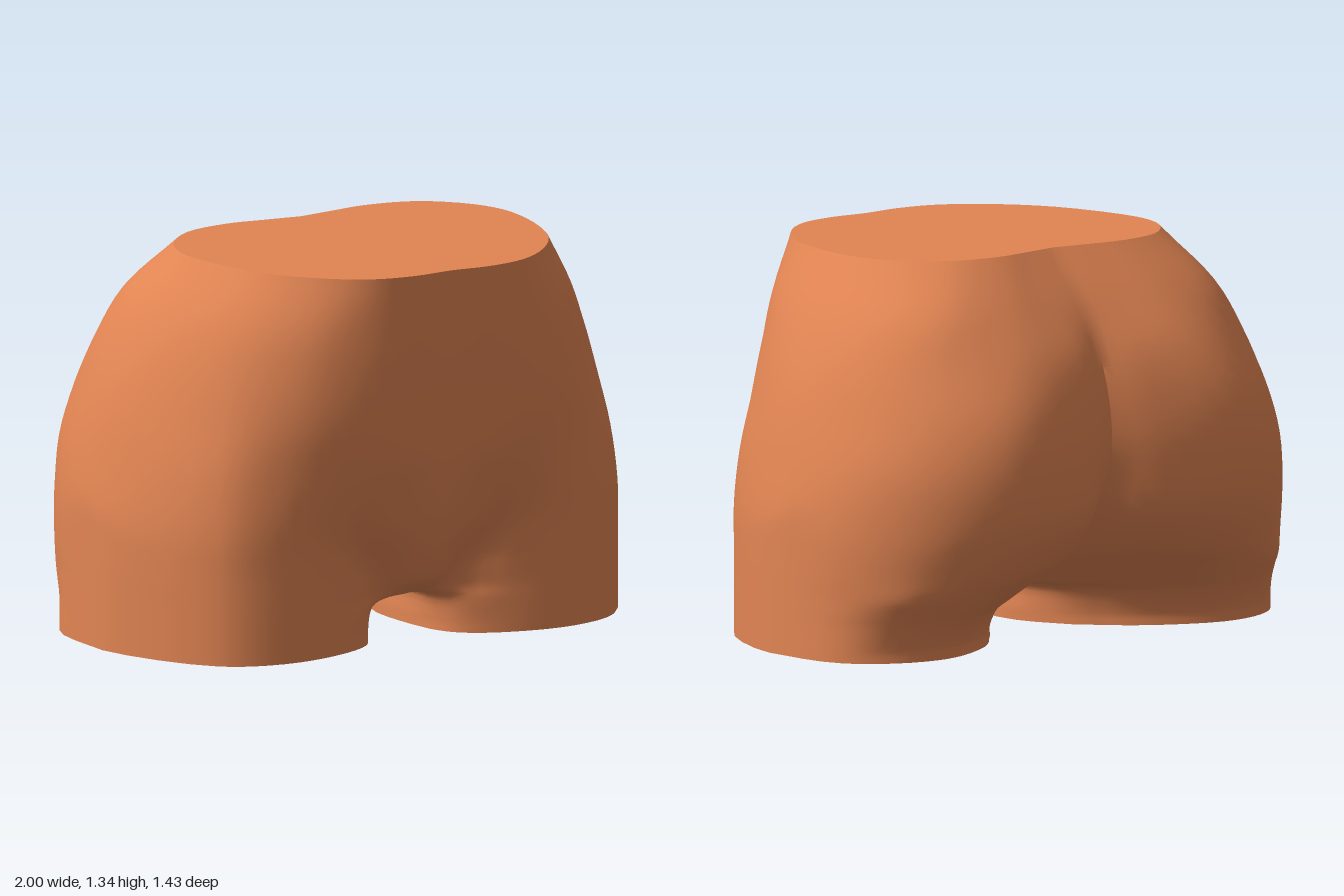
import * as THREE from 'three';
import { toCreasedNormals } from 'three/addons/utils/BufferGeometryUtils.js';

// Half outlines [x, z] running front -> outer side -> back, with their height
const thigh = [[.13, .35], [.19, .455], [.35, .535], [.58, .56], [.79, .475], [1, .05], [.965, -.29], [.82, -.42], [.62, -.455], [.36, -.34], [.19, -.17]];
const legRings = [
  { y: 0, inner: .11, p: thigh },
  { y: .04, inner: .11, p: thigh },
  { y: .125, inner: .108, p: [[.115, .36], [.175, .455], ...thigh.slice(2, 7), [.815, -.45], [.59, -.49], [.34, -.37], [.16, -.17]] },
  { y: .165, inner: 0, p: [[0, .45], [.145, .455], [.35, .535], [.58, .56], [.79, .475], [1, .05], [.965, -.295], [.81, -.475], [.56, -.52], [.3, -.4], [0, -.13]] },
  { y: .22, inner: 0, p: [[0, .545], [.15, .475], [.35, .537], [.58, .56], [.79, .475], [1, .05], [.965, -.3], [.805, -.51], [.53, -.565], [.26, -.46], [0, -.22]] },
  { y: .3, inner: 0, p: [[0, .588], [.2, .505], [.36, .543], [.58, .56], [.79, .475], [1, .05], [.965, -.31], [.79, -.535], [.51, -.63], [.2, -.55], [0, -.34]] },
];
const trunkRings = [
  { y: .45, inner: 0, p: [[0, .635], [.27, .575], [.41, .57], [.6, .56], [.79, .475], [1, .03], [.96, -.32], [.77, -.575], [.5, -.695], [.17, -.65], [0, -.5]] },
  { y: .64, inner: 0, p: [[0, .667], [.2, .655], [.38, .62], [.58, .565], [.78, .455], [.965, .02], [.935, -.32], [.765, -.575], [.5, -.71], [.17, -.67], [0, -.585]] },
  { y: .82, inner: 0, p: [[0, .685], [.19, .682], [.38, .65], [.56, .58], [.75, .43], [.92, .02], [.88, -.31], [.73, -.545], [.48, -.68], [.15, -.64], [0, -.58]] },
  { y: 1, inner: 0, p: [[0, .7], [.18, .698], [.36, .665], [.53, .59], [.72, .4], [.855, .02], [.815, -.29], [.67, -.485], [.43, -.595], [.14, -.575], [0, -.525]] },
  { y: 1.16, inner: 0, p: [[0, .703], [.16, .706], [.34, .67], [.5, .59], [.67, .39], [.775, .03], [.735, -.25], [.6, -.42], [.37, -.48], [.16, -.462], [0, -.44]] },
  { y: 1.34, inner: 0, p: [[0, .7], [.15, .71], [.3, .68], [.45, .57], [.58, .38], [.65, .03], [.6, -.14], [.46, -.28], [.28, -.32], [.14, -.305], [0, -.285]] },
];

const OUTER = 40, INNER = 8, STEPS = 4;
const smooth = (pts) => new THREE.CatmullRomCurve3(pts);

// Closed half ring: smooth outer arc, then the inner side of the leg
function sampleRing({ y, inner, p }) {
  const pts = p.map(([x, z]) => new THREE.Vector3(x, y, z));
  const n = pts.length, front = pts[0], back = pts[n - 1];
  const mid = [.35, .75].map((t) => back.clone().lerp(front, t).setX(inner));
  // the point before the front keeps the seam round
  const lead = inner > 0 ? mid[1] : pts[1].clone().setX(-pts[1].x);
  const arc = smooth([lead, ...pts]);
  const outerArc = Array.from({ length: OUTER + 1 }, (_, k) => arc.getPoint((1 + (n - 1) * k / OUTER) / n));
  const innerArc = smooth([back, ...mid, front]).getPoints(INNER).slice(1, -1);
  return [...outerArc, ...innerArc];
}

// Collects triangles together with their mirror images
function mirroredSoup() {
  const out = [];
  const tri = (a, b, c) => {
    if (a.x + b.x + c.x === 0) return; // faces on the midplane are inside
    for (const v of [a, b, c]) out.push(v.x, v.y, v.z);
    for (const v of [a, c, b]) out.push(-v.x, v.y, v.z);
  };
  const geometry = () => new THREE.BufferGeometry().setAttribute('position', new THREE.Float32BufferAttribute(out, 3));
  return { tri, geometry };
}

export function createModel() {
  const group = new THREE.Group();
  group.name = 'hipForm';
  const material = new THREE.MeshStandardMaterial({ color: 0xe28553 });
  const add = (name, geometry) => {
    const mesh = new THREE.Mesh(geometry, material);
    mesh.name = name;
    group.add(mesh);
  };

  // Smooth loft through the rings
  const rings = [...legRings, ...trunkRings].map(sampleRing);
  const n = rings[0].length, rows = (rings.length - 1) * STEPS;
  const columns = rings[0].map((_, j) => smooth(rings.map((r) => r[j])).getPoints(rows));
  columns.flat().forEach((v) => { v.x = v.x < 1e-3 ? 0 : Math.min(v.x, 1); });

  const skin = mirroredSoup(), legCuts = mirroredSoup(), waistCut = mirroredSoup();
  const legCentre = new THREE.Vector3(.56, 0, .05);
  const waistCentre = new THREE.Vector3(0, 1.34, .2);
  for (let j = 0; j < n; j++) {
    const A = columns[j], B = columns[(j + 1) % n];
    for (let i = 0; i < rows; i++) {
      skin.tri(A[i], B[i], B[i + 1]);
      skin.tri(A[i], B[i + 1], A[i + 1]);
    }
    legCuts.tri(legCentre, B[0], A[0]);
    waistCut.tri(waistCentre, A[rows], B[rows]);
  }
  add('hipsAndThighs', toCreasedNormals(skin.geometry(), .75));

  // Flat cut faces
  for (const [name, soup] of [['thighCuts', legCuts], ['waistCut', waistCut]]) {
    const geometry = soup.geometry();
    geometry.computeVertexNormals();
    add(name, geometry);
  }
  return group;
}
